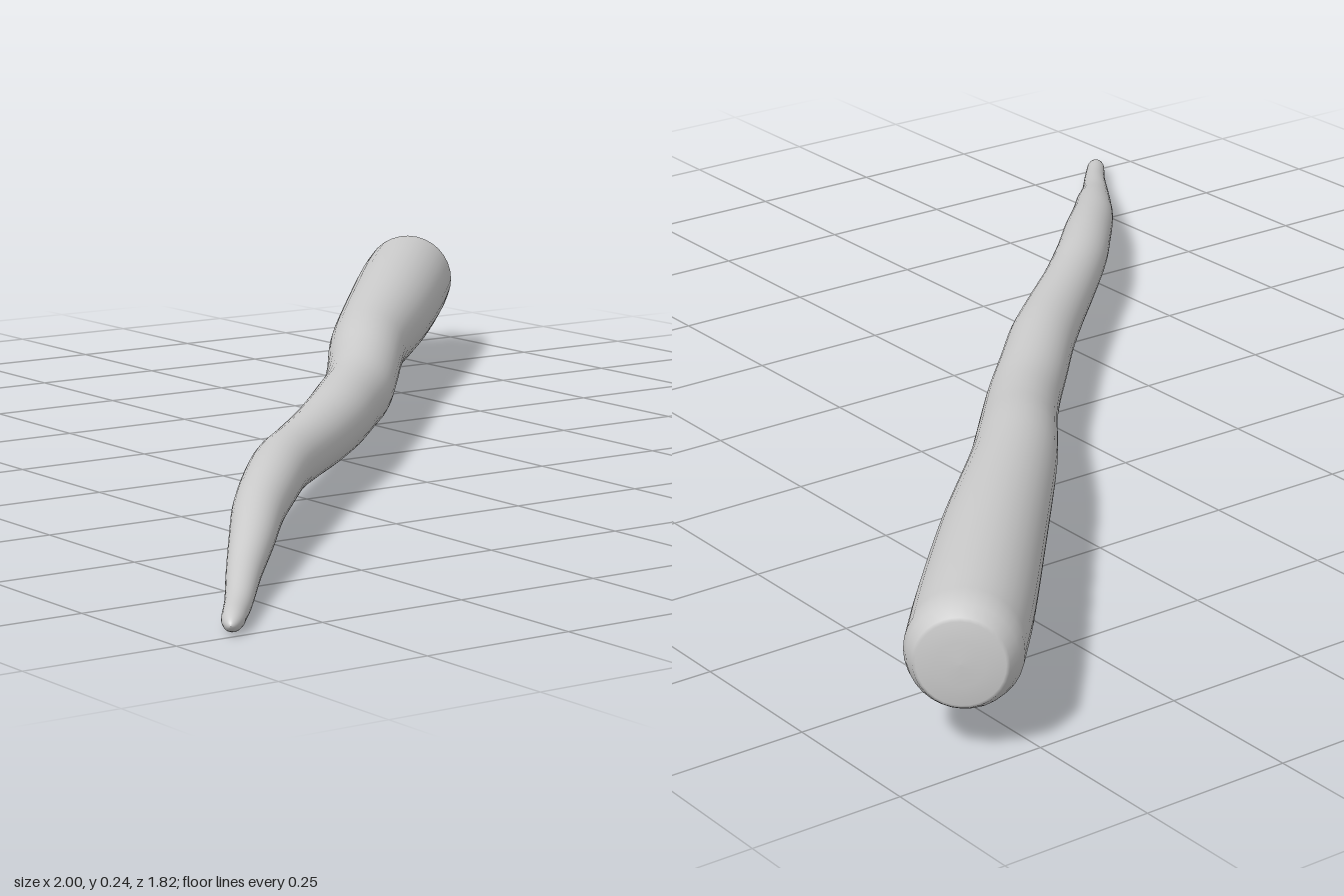
import * as THREE from 'three';

// Stations along the stick: centre x, y, z and radius
const STATIONS = [
  [-0.92, 0.155, -0.828, 0.089], [-0.8, 0.15, -0.72, 0.09], [-0.6, 0.143, -0.54, 0.084],
  [-0.4, 0.135, -0.355, 0.073], [-0.3, 0.128, -0.27, 0.069], [-0.2, 0.114, -0.19, 0.065],
  [-0.1, 0.103, -0.105, 0.063], [0, 0.102, -0.01, 0.061], [0.1, 0.102, 0.085, 0.059],
  [0.2, 0.1, 0.19, 0.055], [0.3, 0.1, 0.3, 0.051], [0.4, 0.102, 0.405, 0.049],
  [0.5, 0.097, 0.497, 0.046], [0.6, 0.084, 0.587, 0.041], [0.7, 0.066, 0.668, 0.035],
  [0.8, 0.045, 0.75, 0.027], [0.9, 0.03, 0.827, 0.021], [0.96, 0.025, 0.876, 0.018],
];
const SIDES = 32;
const STEPS = 102;

function stickGeometry() {
  const spline = (pts) => new THREE.CatmullRomCurve3(pts, false, 'catmullrom', 0.5);
  const centre = spline(STATIONS.map(([x, y, z]) => new THREE.Vector3(x, y, z)));
  const radius = spline(STATIONS.map((s) => new THREE.Vector3(s[3], 0, 0)));

  // Rings along the path, closed by a blunt butt and a rounded tip
  const rings = [];
  const addRing = (t, scale, shift) => {
    const dir = centre.getTangent(t);
    rings.push({ dir, c: centre.getPoint(t).addScaledVector(dir, shift), r: radius.getPoint(t).x * scale });
  };
  for (const [scale, shift] of [[0, -0.05], [0.4, -0.049], [0.74, -0.046], [0.8, -0.043], [0.93, -0.02]]) {
    addRing(0, scale, shift);
  }
  for (let i = 0; i <= STEPS; i++) addRing(i / STEPS, 1, 0);
  for (let k = 1; k <= 6; k++) {
    const a = (k / 6) * Math.PI / 2;
    addRing(1, k === 6 ? 0 : Math.cos(a), 0.05 * Math.sin(a));
  }

  const positions = [];
  const index = [];
  const up = new THREE.Vector3(0, 1, 0);
  rings.forEach(({ dir, c, r }, i) => {
    const side = new THREE.Vector3().crossVectors(up, dir).normalize();
    const top = new THREE.Vector3().crossVectors(dir, side);
    for (let j = 0; j < SIDES; j++) {
      const a = (j / SIDES) * Math.PI * 2;
      const p = c.clone().addScaledVector(side, r * Math.cos(a)).addScaledVector(top, r * Math.sin(a));
      positions.push(p.x, p.y, p.z);
      if (i === 0) continue;
      const k = (j + 1) % SIDES;
      const [a0, a1, b0, b1] = [(i - 1) * SIDES + j, (i - 1) * SIDES + k, i * SIDES + j, i * SIDES + k];
      if (i > 1) index.push(a0, a1, b0);
      if (i < rings.length - 1) index.push(a1, b1, b0);
      else if (i === 1) index.push(a1, b1, b0);
    }
  });
  const geo = new THREE.BufferGeometry();
  geo.setAttribute('position', new THREE.Float32BufferAttribute(positions, 3));
  geo.setIndex(index);
  geo.computeVertexNormals();
  return geo;
}

export function createModel() {
  const group = new THREE.Group();
  group.name = 'taperedStick';
  const stick = new THREE.Mesh(stickGeometry(), new THREE.MeshStandardMaterial({ color: 0xcccccc }));
  stick.name = 'stick';
  group.add(stick);
  return group;
}
